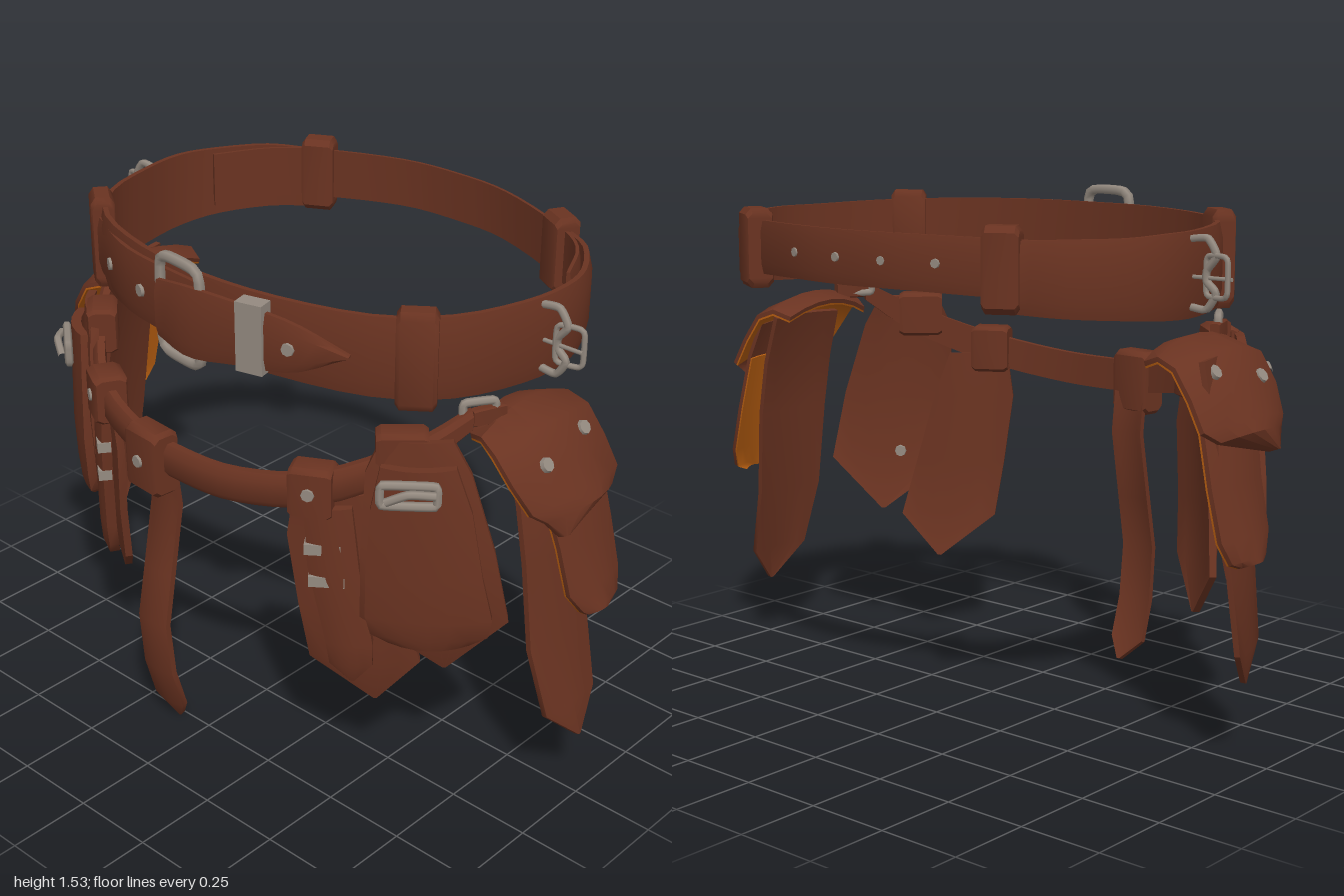
import * as THREE from 'three';
import { toCreasedNormals } from 'three/addons/utils/BufferGeometryUtils.js';

const V = (x, y, z) => new THREE.Vector3(x, y, z);
const material = (name, color) => Object.assign(new THREE.MeshStandardMaterial({ color }), { name });

// Skin a row of equal-sized closed cross-sections, cap both ends, face outward
function loft(sections) {
  const n = sections[0].length, tris = [];
  const tri = (a, b, c) => tris.push([a, b, c]);
  for (let i = 0; i < sections.length - 1; i++) {
    for (let j = 0; j < n; j++) {
      const k = (j + 1) % n, a = sections[i], b = sections[i + 1];
      tri(a[j], b[j], b[k]);
      tri(a[j], b[k], a[k]);
    }
  }
  const first = sections[0], last = sections[sections.length - 1];
  for (let lo = 0, hi = n - 1; lo + 1 < hi; lo++, hi--) {
    tri(first[lo], first[lo + 1], first[hi - 1]);
    tri(first[lo], first[hi - 1], first[hi]);
    tri(last[lo], last[hi - 1], last[lo + 1]);
    tri(last[lo], last[hi], last[hi - 1]);
  }
  const volume = tris.reduce((s, [a, b, c]) => s + a.dot(b.clone().cross(c)), 0);
  const pts = tris.flatMap(([a, b, c]) => (volume < 0 ? [a, c, b] : [a, b, c]));
  return toCreasedNormals(new THREE.BufferGeometry().setFromPoints(pts), 0.7);
}

// Upright strap following plan points [x, z, bottom, top]
function band(points, thick, steps = 28) {
  const curve = (k) => new THREE.CatmullRomCurve3(points.map((p) => V(p[0], p[k], p[1])), false, 'catmullrom');
  const low = curve(2), high = curve(3), sections = [];
  for (let i = 0; i <= steps; i++) {
    const u = i / steps, b = low.getPoint(u), t = high.getPoint(u), d = low.getTangent(u);
    const n = V(-d.z, 0, d.x).normalize();
    if (n.x * b.x + n.z * b.z < 0) n.negate();
    const at = (f, o) => b.clone().lerp(t, f).addScaledVector(n, o);
    sections.push([at(0, 0), at(0, thick * 0.6), at(0.2, thick), at(0.8, thick), at(1, thick * 0.6), at(1, 0)]);
  }
  return loft(sections);
}

// Hanging leather sheet with rows [y, left, right, z], bowed across its width
function panel(rows, thick, bow = 0.02, offset = 0) {
  const N = 6;
  return loft(rows.map(([y, l, r, z], i) => {
    const a = rows[Math.max(i - 1, 0)], b = rows[Math.min(i + 1, rows.length - 1)];
    const n = V(0, b[3] - a[3], a[0] - b[0]).normalize(), front = [], back = [];
    for (let j = 0; j <= N; j++) {
      const u = j / N, arch = bow * (1 - (2 * u - 1) ** 2) * Math.min(1, (r - l) / 0.1);
      const p = V(l + (r - l) * u, y, z).addScaledVector(n, arch + offset);
      front.push(p.clone().addScaledVector(n, thick));
      back.push(p);
    }
    return [...front, ...back.reverse()];
  }));
}

const tube = (pts, r, closed = false) =>
  new THREE.TubeGeometry(new THREE.CatmullRomCurve3(pts.map((p) => V(...p)), closed, 'catmullrom', 0.3), pts.length * 5, r, 6, closed);

// Rounded rectangular wire frame
function frame(w, h, r) {
  const x = w / 2, y = h / 2, c = Math.min(x, y) * 0.35;
  return tube([[x, y - c, 0], [x - c, y, 0], [c - x, y, 0], [-x, y - c, 0],
    [-x, c - y, 0], [c - x, -y, 0], [x - c, -y, 0], [x, c - y, 0]], r, true);
}

// Strap keeper: a flattened sleeve with softened corners
function sleeve(w, h, d) {
  return loft([-0.5, -0.4, 0.4, 0.5].map((f) => {
    const k = Math.abs(f) === 0.5 ? 0.88 : 1, y = h / 2 * k, z = d / 2 * k;
    return [[y, z * 0.6], [y * 0.85, z], [-y * 0.85, z], [-y, z * 0.6], [-y, -z * 0.6], [-y * 0.85, -z], [y * 0.85, -z], [y, -z * 0.6]]
      .map(([a, b]) => V(f * w, a, b));
  }));
}

// Flat stud facing +z, optionally tilted upward
const rivet = (r = 0.02, tilt = 0) => new THREE.CylinderGeometry(r * 0.9, r, 0.012, 8).rotateX(Math.PI / 2 - tilt);

function mirrored(mesh) {
  const g = mesh.geometry.index ? mesh.geometry.toNonIndexed() : mesh.geometry.clone();
  g.scale(-1, 1, 1);
  for (const key of ['position', 'normal']) {
    const { array } = g.attributes[key];
    for (let i = 0; i < array.length; i += 9) {
      for (let k = 3; k < 6; k++) [array[i + k], array[i + k + 3]] = [array[i + k + 3], array[i + k]];
    }
  }
  const copy = new THREE.Mesh(g, mesh.material);
  copy.name = mesh.name.replace('left', 'right');
  return copy;
}

export function createModel() {
  const leather = material('brown leather', 0x6a3321);
  const lining = material('orange lining', 0xb45c10);
  const metal = material('dull metal', 0x948a80);
  const model = new THREE.Group();
  model.name = 'utilityBelt';

  // Adds a mesh turned about y and moved into place, with an optional mirror twin
  function put(name, geo, mat, pos = [0, 0, 0], turn = 0, twin = false) {
    geo.rotateY(turn).translate(...pos);
    const mesh = new THREE.Mesh(geo, mat);
    mesh.name = name;
    model.add(mesh);
    if (twin) model.add(mirrored(mesh));
  }
  const bothSides = (half) => [...half.map(([x, ...r]) => [-x, ...r]).reverse(), ...half.filter((p) => p[0] !== 0)];

  // Waist belt: wide front wrap and narrower back strap
  put('waistBelt', band(bothSides([[0, 0.465, 1.25, 1.475], [0.25, 0.44, 1.25, 1.475], [0.5, 0.35, 1.24, 1.47],
    [0.65, 0.2, 1.23, 1.465], [0.72, 0, 1.225, 1.46], [0.735, -0.15, 1.23, 1.46], [0.7, -0.28, 1.24, 1.455],
    [0.61, -0.41, 1.25, 1.455], [0.5, -0.48, 1.26, 1.45]]), 0.025, 48), leather);
  put('backStrap', band(bothSides([[0, -0.605, 1.31, 1.46], [0.2, -0.585, 1.31, 1.46], [0.45, -0.495, 1.3, 1.455],
    [0.59, -0.405, 1.29, 1.45], [0.68, -0.24, 1.28, 1.45]]), 0.016, 32), leather);
  put('beltOverlay', band([[-0.56, 0.325, 1.27, 1.44], [-0.3, 0.45, 1.265, 1.455], [0.04, 0.495, 1.27, 1.46]], 0.02, 12), leather);
  put('beltTongue', band([[-0.1, 0.53, 1.285, 1.45], [0.02, 0.535, 1.26, 1.465], [0.17, 0.505, 1.275, 1.455], [0.33, 0.46, 1.29, 1.43],
    [0.47, 0.395, 1.355, 1.36]], 0.022, 14), leather);
  put('beltBuckle', frame(0.175, 0.28, 0.016), metal, [-0.035, 1.37, 0.518], -0.12);
  put('metalKeeper', new THREE.BoxGeometry(0.08, 0.2, 0.05), metal, [0.22, 1.37, 0.5], 0.25);
  for (const [x, z, a] of [[-0.43, 0.419, -0.5], [-0.23, 0.487, -0.25], [0.33, 0.484, 0.35], [-0.47, 0.365, Math.PI - 0.55]]) {
    put('beltRivet', rivet(), metal, [x, 1.36, z], a);
  }
  for (const [x, z] of [[-0.3, -0.571], [-0.14, -0.609], [0.02, -0.621], [0.2, -0.6]]) {
    put('backRivet', rivet(0.014), metal, [x, 1.385, z], Math.PI - x * 0.9);
  }
  put('leftFrontLoop', sleeve(0.11, 0.28, 0.07), leather, [0.605, 1.355, 0.29], 0.65, true);
  put('leftBackLoop', sleeve(0.1, 0.23, 0.08), leather, [0.47, 1.375, -0.5], Math.PI - 0.5, true);

  // Hip fittings beside the waist belt
  put('leftHipBracket', tube([[0.74, 1.44, -0.05], [0.8, 1.445, -0.05], [0.83, 1.4, -0.05], [0.8, 1.36, -0.05],
    [0.8, 1.33, -0.05], [0.83, 1.3, -0.05], [0.8, 1.255, -0.05], [0.74, 1.26, -0.05]], 0.011), metal, [0, 0, 0], 0, true);
  put('leftHipRing', frame(0.08, 0.11, 0.008), metal, [0.835, 1.345, -0.055], 0.2, true);
  put('leftHipPin', new THREE.CylinderGeometry(0.006, 0.006, 0.14, 6).rotateZ(Math.PI / 2), metal, [0.81, 1.34, -0.05], 0, true);

  // Low slung belt hanging across the front
  put('lowBelt', band(bothSides([[0, 0.55, 0.875, 0.975], [0.2, 0.535, 0.885, 0.985], [0.42, 0.46, 0.93, 1.03],
    [0.6, 0.3, 1.03, 1.12], [0.69, 0.17, 1.14, 1.2]]), 0.036, 32), leather);
  put('leftHangerRing', frame(0.09, 0.05, 0.012), metal, [0.705, 1.19, 0.15], 1.0, true);
  put('leftHangerTab', sleeve(0.1, 0.05, 0.03), leather, [0.72, 1.175, 0.13], 1.2, true);

  // Centre strap
  put('centreLoop', sleeve(0.135, 0.2, 0.09), leather, [-0.12, 0.91, 0.57], -0.08);
  put('centreRivet', rivet(), metal, [-0.13, 0.91, 0.616], -0.08);
  put('centreStrap', panel([[0.88, -0.055, 0.055, 0.525], [0.75, -0.056, 0.055, 0.51], [0.53, -0.058, 0.055, 0.55],
    [0.37, -0.06, 0.056, 0.58], [0.2, -0.062, 0.057, 0.565], [0.07, -0.06, 0.06, 0.53], [0.005, 0.01, 0.02, 0.505]], 0.018, 0.01),
    leather, [-0.12, 0, 0], 0);

  // Small tool flaps: back sheet, narrow sheath and two metal bands
  const flapAt = [0.42, 0, 0.41], flapTurn = 0.64;
  put('leftFlapLoop', sleeve(0.12, 0.15, 0.1), leather, [0.41, 0.975, 0.475], 0.5, true);
  put('leftFlapRivet', rivet(), metal, [0.432, 0.98, 0.52], 0.5, true);
  put('leftFlapSheet', panel([[0.96, -0.1, 0.09, 0.02], [0.82, -0.12, 0.14, 0.01], [0.6, -0.09, 0.2, 0.01],
    [0.42, -0.06, 0.25, 0], [0.28, 0.12, 0.13, -0.01]], 0.022, 0.015), leather, flapAt, flapTurn, true);
  put('leftFlapSheath', panel([[0.93, -0.07, 0.06, 0.04], [0.75, -0.06, 0.08, 0.045], [0.5, -0.01, 0.12, 0.04],
    [0.43, 0.0, 0.12, 0.035], [0.37, 0.06, 0.07, 0.03]], 0.03, 0.015), leather, flapAt, flapTurn, true);
  for (const [x, y, z] of [[0.445, 0.805, 0.474], [0.455, 0.705, 0.468]]) {
    put('leftFlapBand', new THREE.BoxGeometry(0.1, 0.032, 0.04), metal, [x, y, z], flapTurn, true);
  }

  // Large pouches: pointed back sheet, rounded bag, loop and buckle
  const pouchAt = [0.655, 0, 0.285], pouchTurn = 0.68;
  put('leftPouchSheet', panel([[1.14, -0.13, 0.06, 0], [1.05, -0.17, 0.11, 0.01], [0.82, -0.18, 0.18, 0.02],
    [0.6, -0.18, 0.225, 0.01], [0.43, 0.05, 0.06, -0.01]], 0.025, 0.015), leather, pouchAt, pouchTurn, true);
  put('leftPouchBag', panel([[1.08, -0.13, 0.07, 0.03], [0.95, -0.155, 0.115, 0.035], [0.75, -0.165, 0.15, 0.04],
    [0.62, -0.165, 0.18, 0.035], [0.565, -0.15, 0.17, 0.03], [0.535, -0.1, 0.12, 0.02]], 0.03, 0.025), leather, pouchAt, pouchTurn, true);
  put('leftPouchLoop', sleeve(0.14, 0.14, 0.09), leather, [0.59, 1.09, 0.325], 0.75, true);
  put('leftPouchBuckle', frame(0.15, 0.06, 0.013), metal, [0.675, 1.02, 0.395], pouchTurn, true);
  put('leftPouchBuckleBar', tube([[-0.06, -0.01, 0.02], [0, 0.02, 0.03], [0.07, 0.01, 0.015]], 0.012), metal, [0.675, 1.02, 0.395], pouchTurn, true);
  put('leftPouchBackRivet', rivet(), metal, [0.667, 0.62, 0.303], pouchTurn + Math.PI);

  // Side pouches: arched cover, lined bag and a long pointed strap
  const side = Math.PI / 2;
  const cover = [[1.105, -0.16, 0.17, 0.69], [1.125, -0.19, 0.19, 0.745], [1.105, -0.21, 0.2, 0.8], [1.03, -0.2, 0.205, 0.855],
    [0.95, -0.17, 0.21, 0.9], [0.92, -0.13, 0.16, 0.92], [0.87, -0.09, -0.06, 0.94]];
  put('leftSideCover', panel(cover, 0.014, 0.045), leather, [0, 0, 0], side, true);
  put('leftCoverLining', panel(cover.slice(0, 5), 0.006, 0.045, -0.006), lining, [0, 0, 0], side, true);
  for (const [y, z, x] of [[1.07, 0.09, 0.89], [1.1, -0.1, 0.868]]) {
    put('leftCoverRivet', rivet(0.022, 0.6), metal, [x, y, z], side, true);
  }
  const bag = [[1.08, -0.1, 0.16, 0.83], [0.97, -0.08, 0.175, 0.87], [0.8, -0.05, 0.185, 0.91],
    [0.66, -0.04, 0.185, 0.945], [0.6, 0, 0.16, 0.965], [0.585, 0.02, 0.12, 0.97]];
  put('leftSideBag', panel(bag, 0.014, 0.02), leather, [0, 0, 0], side, true);
  put('leftBagLining', panel(bag.slice(1), 0.006, 0.02, -0.006), lining, [0, 0, 0], side, true);
  const strap = (x) => panel([[1.1, -0.14, 0.13, x[0]], [0.95, -0.15, 0.13, x[1]], [0.78, -0.15, 0.13, x[2]],
    [0.51, -0.14, 0.12, x[3]], [0.3, -0.115, 0.105, x[4]], [0.19, 0.005, 0.015, x[5]]], 0.016, 0.012);
  put('leftSideStrap', strap([0.79, 0.84, 0.87, 0.895, 0.945, 0.975]), leather, [0, 0, 0], side);
  put('rightSideStrap', strap([-0.07, -0.04, -0.01, 0.02, 0.04, 0.03]), leather, [-0.87, 0.03, 0], -side + 0.35);

  return model;
}
